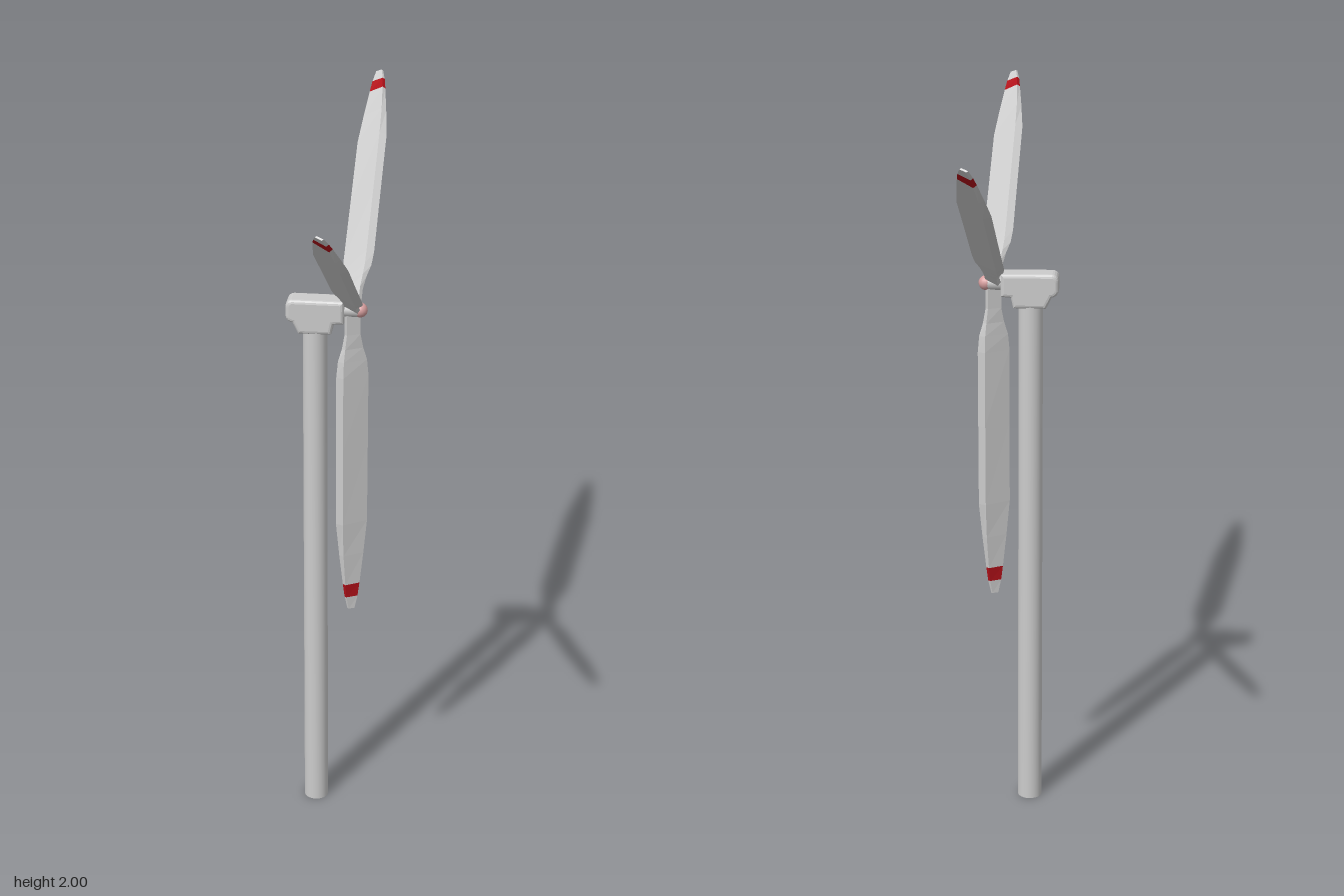
import * as THREE from 'three';

const grey = new THREE.MeshStandardMaterial({ color: 0xcccccc });
const flatGrey = new THREE.MeshStandardMaterial({ color: 0xcccccc, flatShading: true });
const red = new THREE.MeshStandardMaterial({ color: 0xb01018, flatShading: true });
const pink = new THREE.MeshStandardMaterial({ color: 0xd8a0a0 });

const HUB_X = 0.067, HUB_Y = 1.545;

function part(name, geometry, material, x = 0, y = 0, z = 0) {
  const mesh = new THREE.Mesh(geometry, material);
  mesh.name = name;
  mesh.position.set(x, y, z);
  return mesh;
}

// Blade stations: distance from hub, half chord, ridge offset, edge depth, ridge depth
const stations = [
  [0.00, 0.021, 0.014, 0.004, 0.013],
  [0.07, 0.021, 0.014, 0.004, 0.013],
  [0.11, 0.028, 0.018, 0.009, 0.017],
  [0.145, 0.038, 0.021, 0.014, 0.022],
  [0.19, 0.042, 0.022, 0.017, 0.025],
  [0.40, 0.042, 0.022, 0.018, 0.026],
  [0.63, 0.042, 0.022, 0.017, 0.025],
  [0.73, 0.033, 0.020, 0.012, 0.020],
  [0.825, 0.023, 0.015, 0.007, 0.014],
  [0.866, 0.018, 0.012, 0.005, 0.010],
  [0.905, 0.010, 0.006, 0.002, 0.005],
];

// Lofts a pitched four-sided section along -y, closed at the outer end
function bladeGeometry(rows) {
  const pos = [], index = [];
  for (const [r, w, ridge, edgeZ, ridgeZ] of rows) {
    pos.push(-w, -r, edgeZ, -ridge, -r, ridgeZ, w, -r, -edgeZ, ridge, -r, -ridgeZ);
  }
  for (let i = 0; i < rows.length - 1; i++) {
    for (let k = 0; k < 4; k++) {
      const a = i * 4 + k, b = i * 4 + (k + 1) % 4, c = a + 4, d = b + 4;
      index.push(a, c, b, b, c, d);
    }
  }
  const e = (rows.length - 1) * 4;
  index.push(e, e + 3, e + 2, e, e + 2, e + 1);
  const g = new THREE.BufferGeometry();
  g.setAttribute('position', new THREE.Float32BufferAttribute(pos, 3));
  g.setIndex(index);
  g.computeVertexNormals();
  return g;
}

function nacelleGeometry() {
  // Side outline with a lowered collar over the tower
  const b = 0.01;
  const s = new THREE.Shape();
  s.moveTo(-0.085, 1.522);
  s.lineTo(-0.070, 1.492);
  s.lineTo(0.004, 1.492);
  s.lineTo(0.010, 1.520);
  s.lineTo(0.036, 1.522);
  s.lineTo(0.036, 1.566);
  s.lineTo(-0.092, 1.567);
  s.quadraticCurveTo(-0.100, 1.566, -0.100, 1.556);
  s.lineTo(-0.100, 1.532);
  s.quadraticCurveTo(-0.099, 1.523, -0.085, 1.522);
  const g = new THREE.ExtrudeGeometry(s, {
    depth: 0.05, bevelEnabled: true, bevelSize: b, bevelThickness: b, bevelSegments: 3, curveSegments: 5,
  });
  g.translate(0, 0, -0.025);
  return g;
}

export function createModel() {
  const model = new THREE.Group();
  model.name = 'windTurbine';

  // Tower and nacelle
  model.add(part('tower', new THREE.CylinderGeometry(0.033, 0.035, 1.5, 24), grey, -0.034, 0.75, 0));
  model.add(part('nacelle', nacelleGeometry(), grey));

  // Rotor turning about the x axis
  const rotor = new THREE.Group();
  rotor.name = 'rotor';
  rotor.position.set(HUB_X, HUB_Y, 0);
  const hub = part('hub', new THREE.CylinderGeometry(0.019, 0.019, 0.06, 16), grey, -0.008, 0, 0);
  hub.rotation.z = Math.PI / 2;
  const spinner = part('spinner', new THREE.SphereGeometry(0.02, 16, 12), pink, 0.02, 0, 0);
  rotor.add(hub, spinner);

  // Three blades, each with a red band before the tip
  const sections = [
    ['bladeBody', bladeGeometry(stations.slice(0, 9)), flatGrey],
    ['bladeBand', bladeGeometry(stations.slice(8, 10)), red],
    ['bladeTip', bladeGeometry(stations.slice(9)), flatGrey],
  ];
  for (let i = 0; i < 3; i++) {
    const blade = new THREE.Group();
    blade.name = `blade${i + 1}`;
    blade.rotation.x = (i * Math.PI * 2) / 3;
    for (const [name, geometry, material] of sections) blade.add(part(name, geometry, material));
    rotor.add(blade);
  }
  model.add(rotor);
  return model;
}
